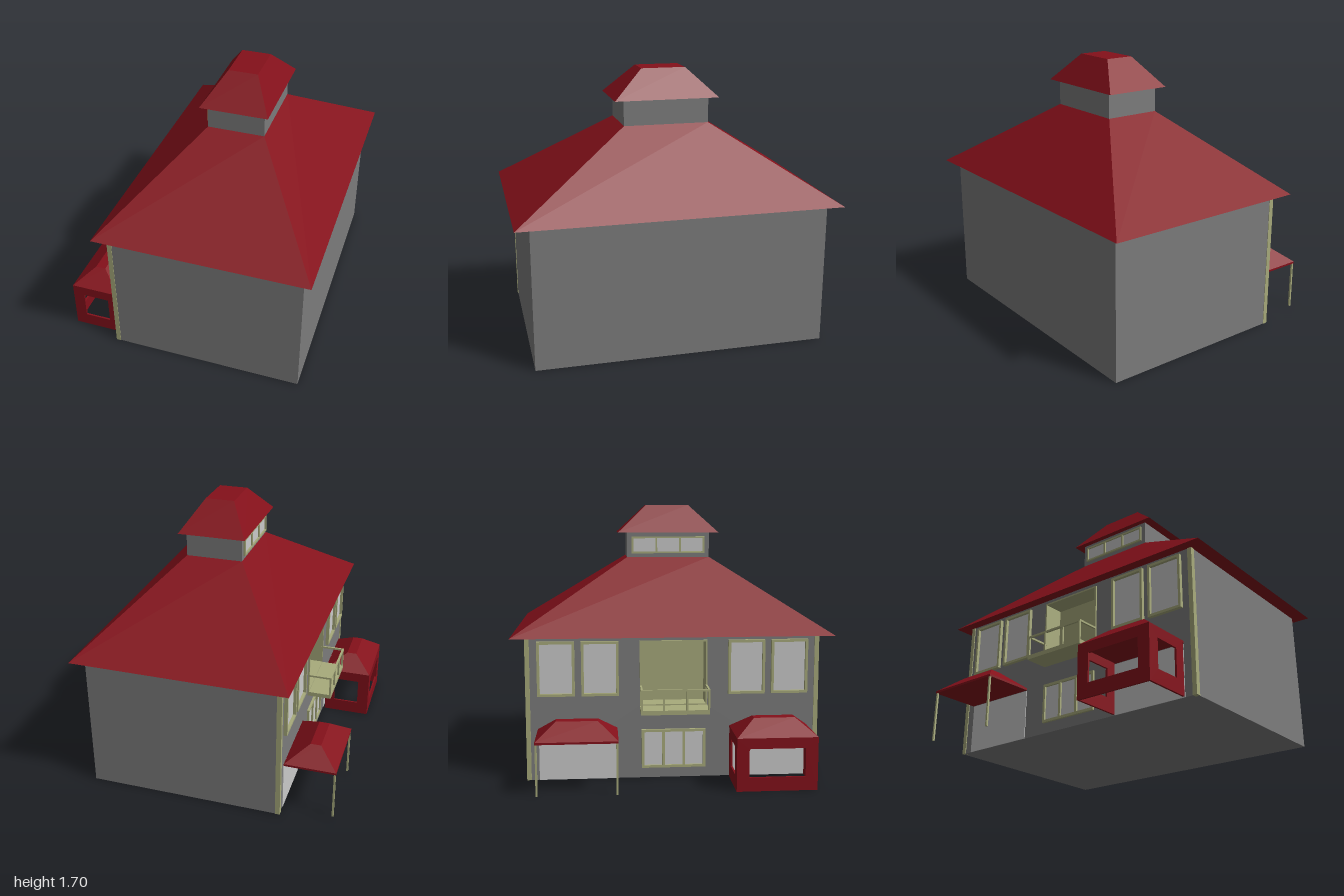
import * as THREE from 'three';

const mat = (color) => new THREE.MeshStandardMaterial({ color, flatShading: true });
const wall = mat(0x7c7c7c);
const red = mat(0x84101a);
const olive = mat(0xa8ab7c);
const glass = mat(0xcccccc);

function add(parent, name, geometry, material, x = 0, y = 0, z = 0) {
  const mesh = new THREE.Mesh(geometry, material);
  mesh.name = name;
  mesh.position.set(x, y, z);
  parent.add(mesh);
  return mesh;
}

// Box given by its limits on each axis
function box(parent, name, material, [x0, x1], [y0, y1], [z0, z1]) {
  const geometry = new THREE.BoxGeometry(x1 - x0, y1 - y0, z1 - z0);
  return add(parent, name, geometry, material, (x0 + x1) / 2, (y0 + y1) / 2, (z0 + z1) / 2);
}

// Hipped roof: a box whose top corners are pulled in to a smaller rectangle
function hipRoof(parent, name, [y0, y1], base, top) {
  const geometry = new THREE.BoxGeometry(1, 1, 1).toNonIndexed();
  const p = geometry.attributes.position;
  for (let i = 0; i < p.count; i++) {
    const up = p.getY(i) > 0;
    const [x0, x1, z0, z1] = up ? top : base;
    p.setXYZ(i, p.getX(i) > 0 ? x1 : x0, up ? y1 : y0, p.getZ(i) > 0 ? z1 : z0);
  }
  geometry.computeVertexNormals();
  return add(parent, name, geometry, red);
}

// Flat panel in the XY plane with rectangular holes, extruded towards +z
function panel(parent, name, material, rect, holes, depth) {
  const corners = ([x0, x1, y0, y1]) =>
    [[x0, y0], [x1, y0], [x1, y1], [x0, y1]].map(([x, y]) => new THREE.Vector2(x, y));
  const shape = new THREE.Shape(corners(rect));
  holes.forEach((h) => shape.holes.push(new THREE.Path(corners(h))));
  const geometry = new THREE.ExtrudeGeometry(shape, { depth, bevelEnabled: false });
  return add(parent, name, geometry, material);
}

// Framed window with a row of equal panes
function windowUnit(parent, name, [x0, x1, y0, y1], panes, depth, bar = 0.016) {
  const group = new THREE.Group();
  group.name = name;
  parent.add(group);
  const w = (x1 - x0 - bar) / panes;
  const holes = [];
  for (let i = 0; i < panes; i++) {
    holes.push([x0 + bar + i * w, x0 + (i + 1) * w, y0 + bar, y1 - bar]);
  }
  panel(group, 'windowFrame', olive, [x0, x1, y0, y1], holes, depth);
  box(group, 'windowGlass', glass, [x0 + 0.004, x1 - 0.004], [y0 + 0.004, y1 - 0.004], [0, 0.003]);
}

// Group whose local x runs along world z and whose local z points to -x
function sideGroup(parent, name, x) {
  const group = new THREE.Group();
  group.name = name;
  group.position.x = x;
  group.rotation.y = -Math.PI / 2;
  parent.add(group);
  return group;
}

export function createModel() {
  const model = new THREE.Group();
  model.name = 'house';

  // Main block, roof and cupola
  box(model, 'mainWalls', wall, [-0.36, 0.74], [0, 0.895], [-0.91, 0.91]);
  hipRoof(model, 'mainRoof', [0.895, 1.36], [-0.55, 0.8, -1, 1], [-0.055, 0.305, -0.27, 0.27]);
  box(model, 'cupolaWalls', wall, [-0.055, 0.305], [1.36, 1.52], [-0.27, 0.27]);
  hipRoof(model, 'cupolaRoof', [1.52, 1.7], [-0.09, 0.34, -0.33, 0.33], [0.035, 0.22, -0.14, 0.14]);
  windowUnit(sideGroup(model, 'cupolaSide', -0.055), 'cupolaWindow', [-0.24, 0.24, 1.385, 1.495], 3, 0.013, 0.012);

  // Facade wall with the recess behind the balcony
  const recess = [-0.21, 0.21, 0.46, 0.87];
  const inner = [-0.2, 0.2, 0.47, 0.86];
  const facade = sideGroup(model, 'facade', -0.485);
  panel(facade, 'facadeWall', wall, [-0.91, 0.91, 0, 0.895], [recess], 0.125).position.z = -0.125;
  panel(facade, 'recessLining', olive, recess, [inner], 0.135).position.z = -0.125;
  box(facade, 'recessBack', olive, [-0.2, 0.2], [0.47, 0.86], [-0.125, -0.118]);

  // Upper windows, ground floor openings and corner trim, mirrored
  for (const s of [-1, 1]) {
    for (const c of [0.455, 0.725]) {
      windowUnit(facade, 'upperWindow', [s * c - 0.115, s * c + 0.115, 0.53, 0.87], 1, 0.022);
    }
    box(facade, 'porchOpening', glass, [s * 0.595 - 0.24, s * 0.595 + 0.24], [0, 0.31], [0, 0.004]);
    box(facade, 'cornerTrim', olive, [s * 0.899 - 0.014, s * 0.899 + 0.014], [0, 0.895], [-0.025, 0.005]);
  }
  windowUnit(facade, 'groundWindow', [-0.2, 0.2, 0.065, 0.31], 3, 0.015);

  // Balcony with open railing
  const balcony = new THREE.Group();
  balcony.name = 'balcony';
  model.add(balcony);
  box(balcony, 'balconyFloor', olive, [-0.64, -0.485], [0.435, 0.462], [-0.21, 0.21]);
  box(balcony, 'frontRail', olive, [-0.64, -0.628], [0.578, 0.59], [-0.21, 0.21]);
  for (const z of [-0.204, -0.07, 0.07, 0.204]) {
    box(balcony, 'railPost', olive, [-0.64, -0.628], [0.46, 0.58], [z - 0.006, z + 0.006]);
  }
  for (const z of [-0.204, 0.204]) {
    box(balcony, 'sideRail', olive, [-0.63, -0.485], [0.578, 0.59], [z - 0.006, z + 0.006]);
  }

  // The two porch roofs
  for (const s of [-1, 1]) {
    const c = s * 0.595;
    box(model, 'porchEaves', red, [-0.81, -0.49], [0.312, 0.325], [c - 0.245, c + 0.245]);
    hipRoof(model, 'porchRoof', [0.325, 0.42],
      [-0.81, -0.49, c - 0.245, c + 0.245], [-0.69, -0.625, c - 0.125, c + 0.125]);
  }

  // Slim posts of the open porch
  for (const z of [-0.832, -0.358]) {
    box(model, 'porchPost', olive, [-0.808, -0.796], [0, 0.315], [z - 0.006, z + 0.006]);
  }

  // Enclosed porch: thin walls with openings
  const porch = new THREE.Group();
  porch.name = 'enclosedPorch';
  model.add(porch);
  for (const z of [0.35, 0.828]) {
    panel(porch, 'porchEndWall', red, [-0.81, -0.5, 0, 0.32], [[-0.735, -0.565, 0.085, 0.26]], 0.012).position.z = z;
  }
  panel(sideGroup(porch, 'porchSide', -0.798), 'porchSideWall', red,
    [0.35, 0.84, 0, 0.32], [[0.425, 0.765, 0.085, 0.26]], 0.012);

  return model;
}
